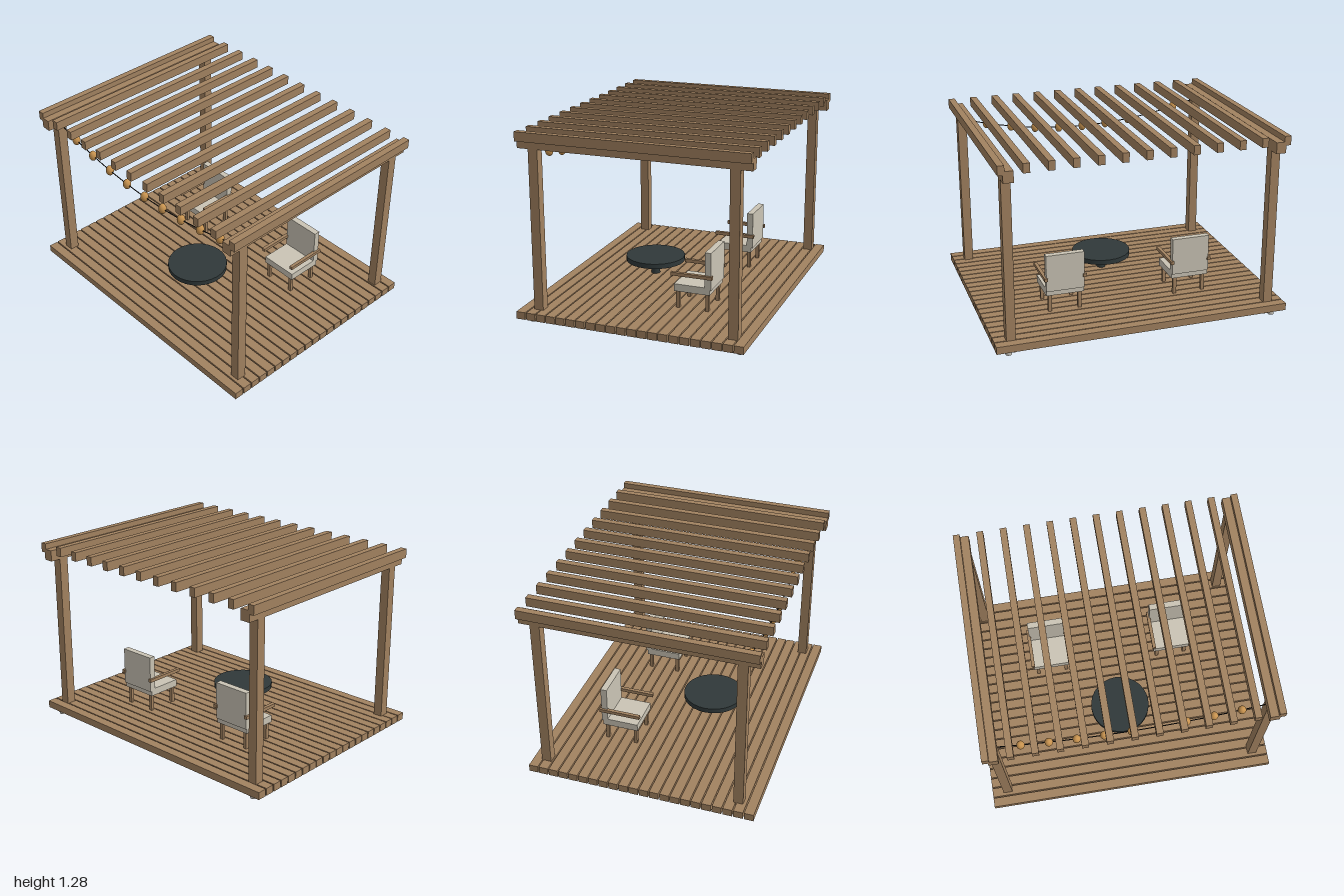
import * as THREE from 'three';

const material = (name, color) => {
  const m = new THREE.MeshStandardMaterial({ color });
  m.name = name;
  return m;
};

export function createModel() {
  const wood = material('timber', 0xa28260);
  const fabric = material('cushion fabric', 0xcac4b5);
  const iron = material('dark metal', 0x30393a);
  const amber = material('amber glass', 0xc8934f);
  const cord = material('black cord', 0x1c1c1c);
  const stone = material('footing stone', 0xc2beb4);

  const group = (name, parent) => {
    const g = new THREE.Group();
    g.name = name;
    if (parent) parent.add(g);
    return g;
  };
  const add = (parent, name, geometry, mat, x, y, z) => {
    const mesh = new THREE.Mesh(geometry, mat);
    mesh.name = name;
    mesh.position.set(x, y, z);
    parent.add(mesh);
    return mesh;
  };
  // Box given by centre x, z and its bottom and top heights
  const box = (parent, name, mat, x, z, w, d, y0, y1) =>
    add(parent, name, new THREE.BoxGeometry(w, y1 - y0, d), mat, x, (y0 + y1) / 2, z);

  const model = group('pergola');

  // Deck of separate planks with narrow gaps
  const deck = group('deck', model);
  const planks = 22, pitch = 0.0711, plankDepth = 0.063;
  for (let i = 0; i < planks; i++) {
    const z = 0.0075 + (i - (planks - 1) / 2) * pitch;
    box(deck, 'plank', wood, 0, z, 2, plankDepth, 0.036, 0.086);
  }

  // Posts, footings and side beams
  const frame = group('frame', model);
  for (const sx of [-1, 1]) {
    for (const sz of [-1, 1]) {
      box(frame, 'post', wood, sx * 0.891, -0.0075 + sz * 0.669, 0.062, 0.065, 0, 1.18);
      add(frame, 'footing', new THREE.CylinderGeometry(0.021, 0.021, 0.038, 16), stone,
        sx * 0.914, 0.019, -0.0065 + sz * 0.7135);
    }
    box(frame, 'beam', wood, sx * 0.89, -0.0075, 0.067, 1.555, 1.167, 1.242);
  }

  // Rafters running front to back
  const roof = group('rafters', model);
  for (let i = -6; i <= 6; i++) {
    box(roof, 'rafter', wood, i * 0.1556, -0.0075, 0.044, 1.555, 1.218, 1.28);
  }

  // Hanging string of lights between the front posts
  const lights = group('stringLights', model);
  const lightZ = 0.655;
  const sag = (x) => 1.028 + 0.165 * x * x;
  const points = [];
  for (let i = -5; i <= 5; i++) {
    const x = i * 0.178;
    points.push(new THREE.Vector3(x, sag(x), lightZ));
    if (Math.abs(i) < 5) {
      const bulb = add(lights, 'bulb', new THREE.SphereGeometry(0.027, 16, 12), amber, x, sag(x), lightZ);
      bulb.scale.y = 1.33;
    }
  }
  const curve = new THREE.CatmullRomCurve3(points);
  add(lights, 'wire', new THREE.TubeGeometry(curve, 40, 0.0035, 6), cord, 0, 0, 0);

  // Round table on a single pedestal
  const table = group('table', model);
  add(table, 'tableTop', new THREE.CylinderGeometry(0.208, 0.208, 0.035, 28), iron, 0, 0.2025, 0.213);
  add(table, 'pedestal', new THREE.CylinderGeometry(0.031, 0.031, 0.153, 20), iron, 0, 0.1105, 0.213);

  // Pair of armchairs against the back
  for (const side of [-1, 1]) {
    const chair = group('chair', model);
    chair.position.x = side * 0.444;
    box(chair, 'seat', fabric, 0, -0.275, 0.262, 0.246, 0.206, 0.256);
    box(chair, 'backrest', fabric, 0, -0.387, 0.262, 0.043, 0.24, 0.497);
    for (const s of [-1, 1]) {
      box(chair, 'armrest', wood, s * 0.133, -0.275, 0.024, 0.286, 0.317, 0.34);
      for (const z of [-0.173, -0.376]) {
        box(chair, 'leg', wood, s * 0.103, z, 0.024, 0.023, 0, 0.21);
      }
    }
  }

  return model;
}
